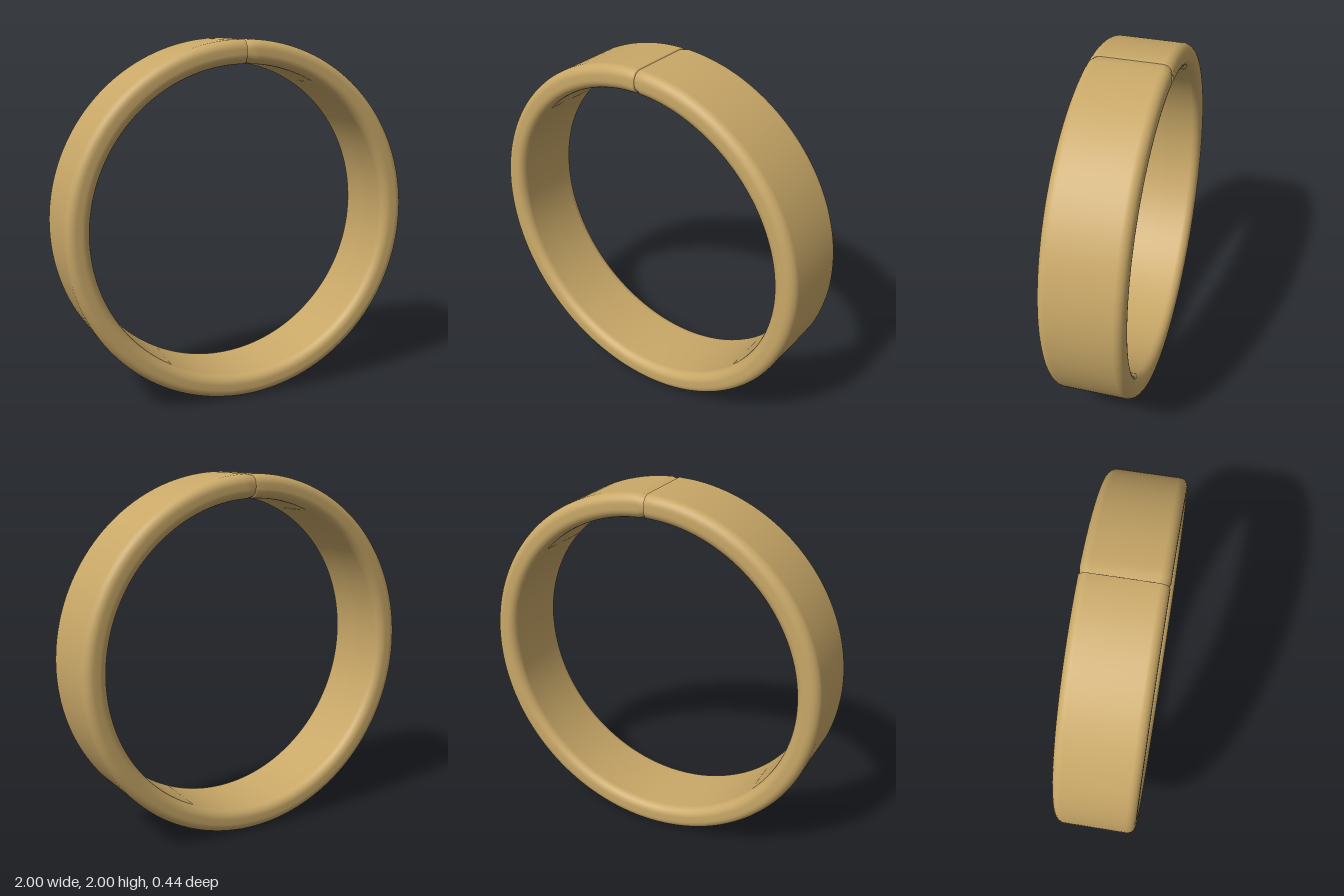
import * as THREE from 'three';

const OUTER = 1, INNER = 0.87, HALF_WIDTH = 0.22, CORNER = 0.05;
const SEGMENTS = 160, SEAM_DEPTH = 0.008;

// Closed rounded-rectangle section, running counter-clockwise from the inner face.
function bandProfile() {
  const corners = [
    [INNER + CORNER, -HALF_WIDTH + CORNER],
    [OUTER - CORNER, -HALF_WIDTH + CORNER],
    [OUTER - CORNER, HALF_WIDTH - CORNER],
    [INNER + CORNER, HALF_WIDTH - CORNER],
  ];
  const points = [new THREE.Vector2(INNER, 0)];
  corners.forEach(([r, y], c) => {
    for (let i = 0; i <= 6; i++) {
      const a = Math.PI + (c + i / 6) * Math.PI / 2;
      points.push(new THREE.Vector2(r + CORNER * Math.cos(a), y + CORNER * Math.sin(a)));
    }
  });
  points.push(new THREE.Vector2(INNER, 0));
  return points;
}

export function createModel() {
  const group = new THREE.Group();
  group.name = 'ring';

  const profile = bandProfile();
  const geometry = new THREE.LatheGeometry(profile, SEGMENTS);
  const pos = geometry.attributes.position;
  const middle = (OUTER + INNER) / 2;

  // Fine seam across the top: pinch the joining section, steep on one side.
  for (let i = 0; i < pos.count; i++) {
    const ring = Math.floor(i / profile.length);
    const p = profile[i % profile.length];
    if (ring === 0 || ring === SEGMENTS) {
      const r = p.x - Math.sign(p.x - middle) * SEAM_DEPTH;
      const y = p.y - Math.sign(p.y) * Math.min(SEAM_DEPTH, Math.abs(p.y));
      pos.setXYZ(i, 0, y, r);
    } else if (ring === SEGMENTS - 1) {
      pos.setXYZ(i, -0.004 * p.x, p.y, p.x);
    }
  }
  geometry.rotateX(-Math.PI / 2);
  geometry.computeVertexNormals();

  const band = new THREE.Mesh(geometry, new THREE.MeshStandardMaterial({ color: 0xc9a868 }));
  band.name = 'band';
  band.position.y = OUTER;
  group.add(band);
  return group;
}
